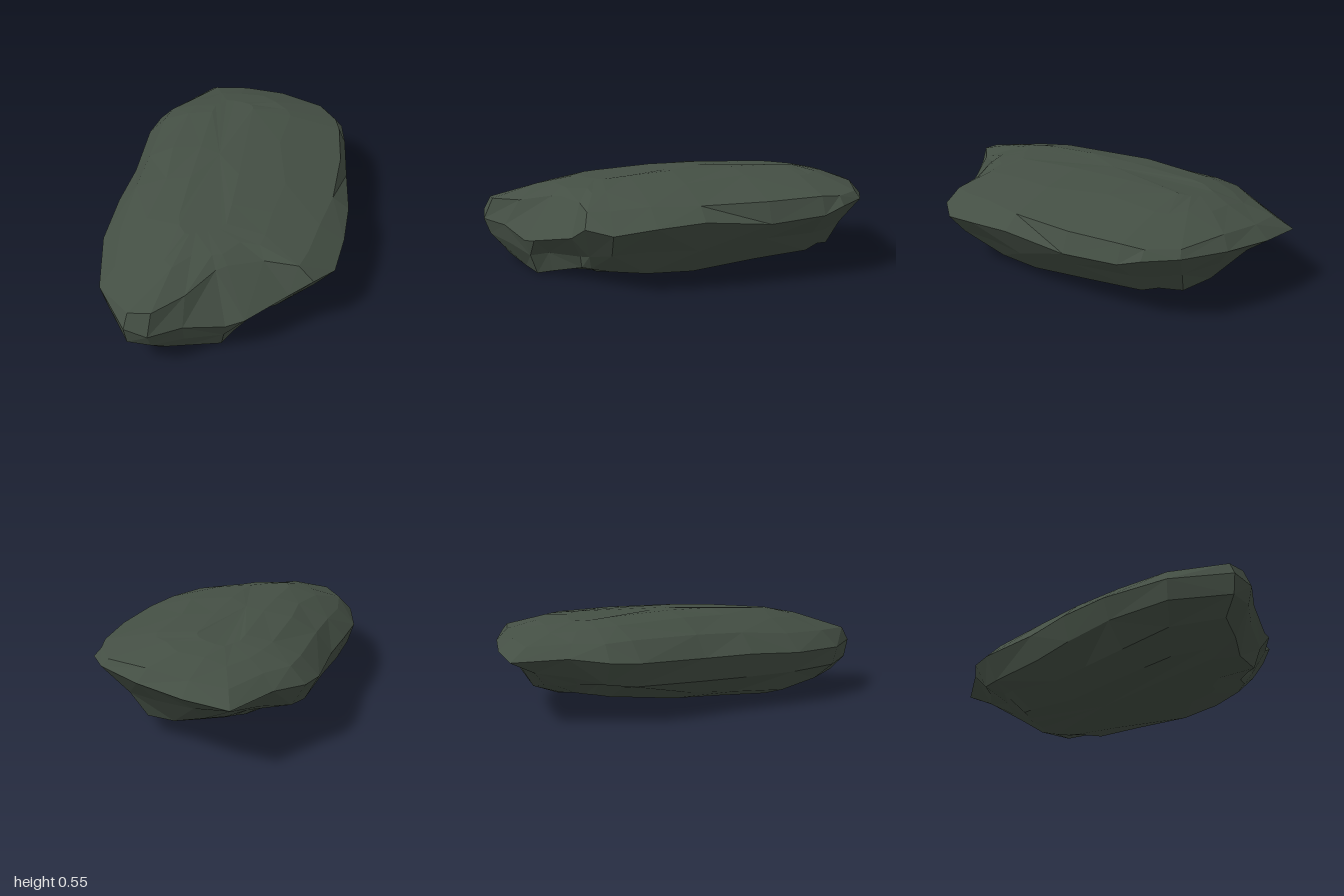
import * as THREE from 'three';

// Widest outline, clockwise from the rear tip: x, z, height, then inset and height of the upper shoulder
const RIM = [
  [0.46, -1.0, 0.35, 0.2, 0.42], [0.65, -0.82, 0.37, 0.16, 0.44], [0.82, -0.58, 0.39, 0.12, 0.46],
  [0.95, -0.32, 0.41, 0.06, 0.45], [0.95, -0.12, 0.4, 0.06, 0.45], [0.9, 0.0, 0.36, 0.06, 0.46],
  [0.73, 0.28, 0.34, 0.06, 0.455], [0.53, 0.6, 0.38, 0.12, 0.45], [0.37, 0.8, 0.36, 0.18, 0.45],
  [0.21, 0.96, 0.33, 0.2, 0.43], [0.05, 1.0, 0.35, 0.13, 0.425], [-0.08, 0.97, 0.28, 0.28, 0.44],
  [-0.35, 0.985, 0.23, 0.38, 0.45], [-0.45, 0.96, 0.21, 0.36, 0.44], [-0.67, 0.91, 0.26, 0.16, 0.4],
  [-0.86, 0.9, 0.27, 0.08, 0.39], [-0.955, 0.82, 0.3, 0.06, 0.38], [-0.955, 0.48, 0.3, 0.16, 0.4],
  [-0.8, 0.13, 0.31, 0.2, 0.41], [-0.6, -0.13, 0.33, 0.2, 0.44], [-0.4, -0.36, 0.33, 0.18, 0.45],
  [-0.16, -0.7, 0.34, 0.2, 0.45], [-0.03, -0.81, 0.35, 0.18, 0.44], [0.18, -0.88, 0.37, 0.2, 0.44],
];

// Underside below each outline point: belly inset, belly height, foot inset, foot lift
const UNDER = [
  [0.3, 0.27, 0.6, 0], [0.25, 0.27, 0.5, 0.01], [0.2, 0.27, 0.4, 0.02], [0.22, 0.25, 0.36, 0],
  [0.24, 0.23, 0.34, 0], [0.2, 0.23, 0.32, 0.01], [0.12, 0.24, 0.28, 0.03], [0.14, 0.2, 0.3, 0.03],
  [0.16, 0.21, 0.3, 0.04], [0.14, 0.2, 0.32, 0.06], [0.2, 0.17, 0.3, 0.07], [0.26, 0.14, 0.3, 0.06],
  [0.2, 0.14, 0.24, 0.02], [0.06, 0.12, 0.14, 0], [0.05, 0.15, 0.2, 0], [0.05, 0.18, 0.22, 0],
  [0.03, 0.19, 0.16, 0], [0.04, 0.19, 0.22, 0.01], [0.07, 0.19, 0.26, 0.03], [0.08, 0.19, 0.32, 0.05],
  [0.1, 0.19, 0.37, 0.06], [0.15, 0.2, 0.4, 0.05], [0.16, 0.22, 0.43, 0.04], [0.24, 0.25, 0.5, 0.02],
];

// Height limits of the upper and lower surfaces along x and z
const TOP_X = [[-0.95, 0.33], [-0.8, 0.46], [-0.55, 0.52], [-0.25, 0.552], [0.4, 0.56], [0.62, 0.545], [0.92, 0.46], [0.95, 0.4]];
const TOP_Z = [[-1, 0.35], [-0.93, 0.41], [-0.67, 0.51], [-0.3, 0.56], [0.3, 0.55], [0.8, 0.49], [1, 0.36]];
const LOW_X = [[-0.95, 0.2], [-0.87, 0.11], [-0.75, 0.05], [-0.58, 0], [0.35, 0.025], [0.71, 0.095], [0.79, 0.24], [0.95, 0.4]];
const LOW_Z = [[-1, 0.35], [-0.93, 0.3], [-0.55, 0.11], [-0.33, 0.045], [0.15, 0.02], [0.4, 0], [0.9, 0.01], [0.98, 0.2]];

function sample(keys, t) {
  if (t <= keys[0][0]) return keys[0][1];
  for (let i = 1; i < keys.length; i++) {
    const [a, ya] = keys[i - 1], [b, yb] = keys[i];
    if (t <= b) return ya + (yb - ya) * (t - a) / (b - a);
  }
  return keys[keys.length - 1][1];
}
const topAt = (x, z) => Math.min(sample(TOP_X, x), sample(TOP_Z, z));
const lowAt = (x, z) => Math.max(sample(LOW_X, x), sample(LOW_Z, z));

// Move an outline point towards the long diagonal spine of the stone
const A = new THREE.Vector2(0.3, -0.45), AB = new THREE.Vector2(-0.65, 0.9);
function inset(x, z, f) {
  const p = new THREE.Vector2(x, z);
  const t = THREE.MathUtils.clamp(p.clone().sub(A).dot(AB) / AB.lengthSq(), 0, 1);
  return p.lerp(A.clone().addScaledVector(AB, t), f);
}

function stoneGeometry() {
  const n = RIM.length, rings = [[], [], [], [], [], [], []];
  RIM.forEach(([x, z, y, shoulder, shoulderY], i) => {
    const [belly, bellyY, foot, lift] = UNDER[i];
    const chip = 0.01 * Math.sin(i * 2.4); // uneven facets
    const base = inset(x, z, Math.min(0.8, foot + 0.3)), f = inset(x, z, foot), m = inset(x, z, belly);
    const s = inset(x, z, shoulder), u = inset(x, z, 0.5 + 4 * chip), c = inset(x, z, 0.8);
    rings[0].push([base.x, lowAt(base.x, base.y), base.y]);
    rings[1].push([f.x, lowAt(f.x, f.y) + lift, f.y]);
    rings[2].push([m.x, bellyY, m.y]);
    rings[3].push([x, y, z]);
    rings[4].push([s.x, shoulderY, s.y]);
    rings[5].push([u.x, THREE.MathUtils.lerp(shoulderY, topAt(u.x, u.y), 0.8) + chip * 0.3, u.y]);
    rings[6].push([c.x, topAt(c.x, c.y), c.y]);
  });
  const pos = rings.flat(2), index = [];
  for (let r = 0; r < rings.length - 1; r++) {
    for (let i = 0; i < n; i++) {
      const j = (i + 1) % n, a = r * n + i, b = r * n + j, c = a + n, d = b + n;
      if ((i + r) % 3) index.push(a, c, b, b, c, d);
      else index.push(a, c, d, a, d, b);
    }
  }
  // Centre points close the underside and the top
  const lowC = pos.length / 3, topC = lowC + 1, last = (rings.length - 1) * n;
  pos.push(0, lowAt(0, 0), 0, 0, topAt(0, 0), 0);
  for (let i = 0; i < n; i++) {
    const j = (i + 1) % n;
    index.push(lowC, i, j, topC, last + j, last + i);
  }
  const g = new THREE.BufferGeometry();
  g.setAttribute('position', new THREE.Float32BufferAttribute(pos, 3));
  g.setIndex(index);
  g.computeVertexNormals();
  return g;
}

export function createModel() {
  const group = new THREE.Group();
  group.name = 'flatRock';
  const material = new THREE.MeshStandardMaterial({ color: 0x444f44, flatShading: true });
  const stone = new THREE.Mesh(stoneGeometry(), material);
  stone.name = 'stone';
  group.add(stone);
  return group;
}
